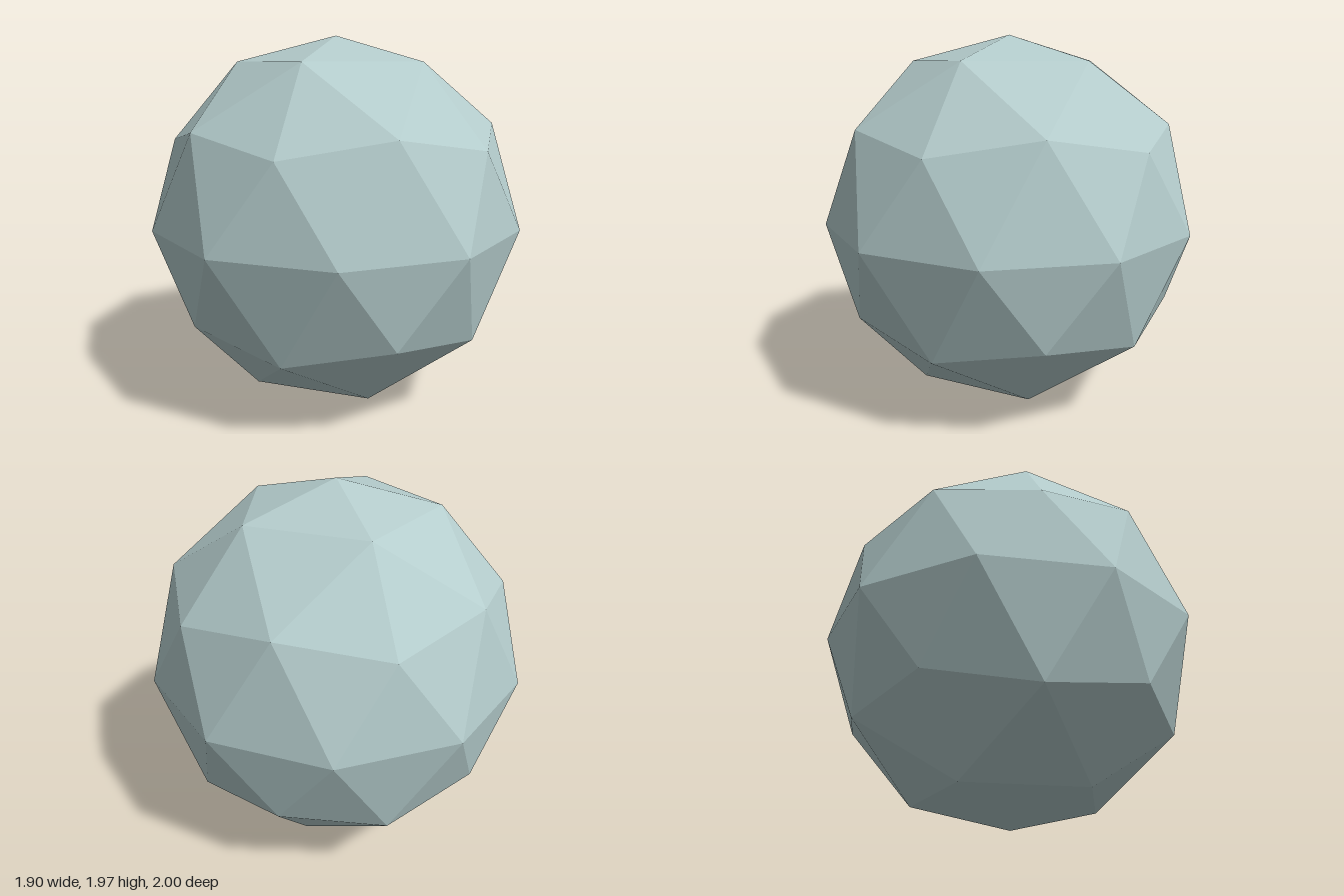
import * as THREE from 'three';

const APEX = 0.984; // radius of the twelve five-way corners
const RIM = 1;      // radius of the thirty six-way corners

function panels(triangles, material, name) {
  const points = [];
  for (const [a, b, c] of triangles) {
    // keep every face turned outward
    const normal = b.clone().sub(a).cross(c.clone().sub(a));
    points.push(...(normal.dot(a) > 0 ? [a, b, c] : [a, c, b]));
  }
  const geometry = new THREE.BufferGeometry().setFromPoints(points);
  geometry.computeVertexNormals(); // unshared corners give flat facets
  const mesh = new THREE.Mesh(geometry, material);
  mesh.name = name;
  return mesh;
}

export function createModel() {
  const shell = new THREE.MeshStandardMaterial({ color: 0xb4cccc, flatShading: true });
  shell.name = 'pale teal';

  // Icosahedron corners: two poles and two staggered rings of five
  const h = 1 / Math.sqrt(5);
  const ring = (y, offset) => Array.from({ length: 5 }, (_, i) => {
    const t = (i + offset) * Math.PI * 0.4;
    return new THREE.Vector3(2 * h * Math.cos(t), y, 2 * h * Math.sin(t));
  });
  const top = new THREE.Vector3(0, 1, 0);
  const bottom = new THREE.Vector3(0, -1, 0);
  const upper = ring(h, 0);
  const lower = ring(-h, 0.5);

  const faces = [];
  for (let i = 0; i < 5; i++) {
    const j = (i + 1) % 5;
    faces.push(
      [top, upper[i], upper[j]],
      [upper[i], lower[i], upper[j]],
      [lower[i], lower[j], upper[j]],
      [bottom, lower[i], lower[j]],
    );
  }

  // Split each face into three cap facets and one central triangle
  const caps = [];
  const centres = [];
  const mid = (a, b) => a.clone().add(b).setLength(RIM);
  const apex = (a) => a.clone().setLength(APEX);
  for (const [a, b, c] of faces) {
    const ab = mid(a, b), bc = mid(b, c), ca = mid(c, a);
    caps.push([apex(a), ab, ca], [apex(b), bc, ab], [apex(c), ca, bc]);
    centres.push([ab, bc, ca]);
  }

  const model = new THREE.Group();
  model.name = 'facetedSphere';
  model.add(
    panels(caps, shell, 'pentagonCaps'),
    panels(centres, shell, 'trianglePanels'),
  );
  for (const mesh of model.children) mesh.position.y = APEX;
  return model;
}
